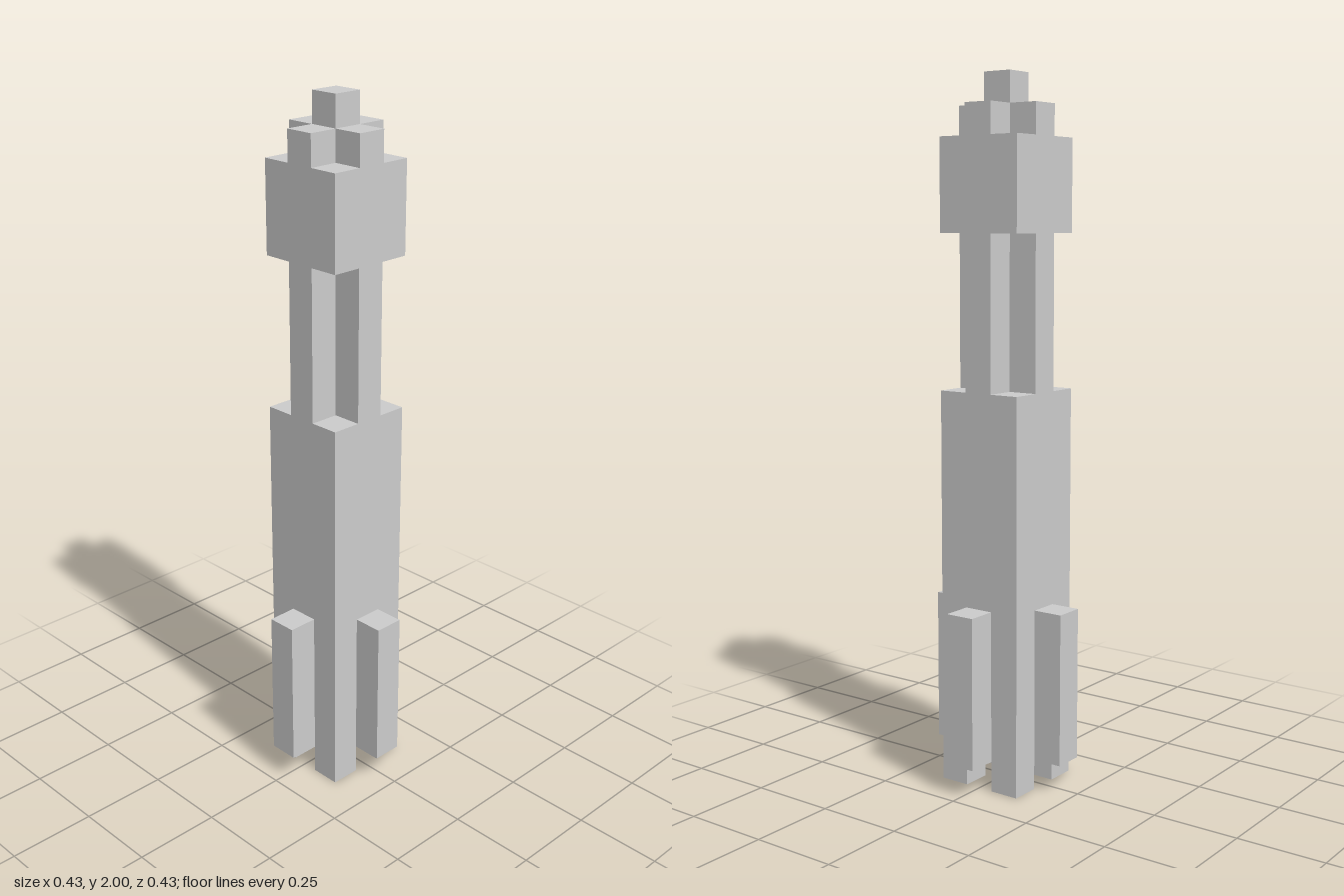
import * as THREE from 'three';

const U = 2 / 23; // one block; the tower is 23 blocks tall
const material = new THREE.MeshStandardMaterial({ color: 0xcccccc, flatShading: true });

export function createModel() {
  const model = new THREE.Group();

  const add = (name, geometry, x, y, z) => {
    const mesh = new THREE.Mesh(geometry, material);
    mesh.name = name;
    mesh.position.set(x * U, y * U, z * U);
    model.add(mesh);
  };

  // Box of square plan, from block level y0 to y1
  const block = (name, width, y0, y1, x = 0, z = 0) =>
    add(name, new THREE.BoxGeometry(width * U, (y1 - y0) * U, width * U), x, (y0 + y1) / 2, z);

  // Plus-shaped prism, three blocks across, from level y0 to y1
  const cross = (name, y0, y1) => {
    const a = 0.5 * U, b = 1.5 * U;
    const outline = [
      [a, b], [-a, b], [-a, a], [-b, a], [-b, -a], [-a, -a],
      [-a, -b], [a, -b], [a, -a], [b, -a], [b, a], [a, a],
    ].map(([x, y]) => new THREE.Vector2(x, y));
    const geometry = new THREE.ExtrudeGeometry(new THREE.Shape(outline), {
      depth: (y1 - y0) * U, bevelEnabled: false,
    });
    geometry.rotateX(-Math.PI / 2);
    add(name, geometry, 0, y0, 0);
  };

  // Central column, bottom to top
  block('lowerBody', 3, 1, 13);
  cross('notchedWaist', 13, 18);
  block('upperBody', 3, 18, 21);
  cross('crown', 21, 22);
  block('tip', 1, 22, 23);

  // Feet under the corners
  for (const x of [-1, 1]) for (const z of [-1, 1]) block('foot', 1, 0, 1, x, z);

  // Fins on the four sides
  for (const [x, z] of [[2, 0], [-2, 0], [0, 2], [0, -2]]) block('sideFin', 1, 1, 6, x, z);

  return model;
}
